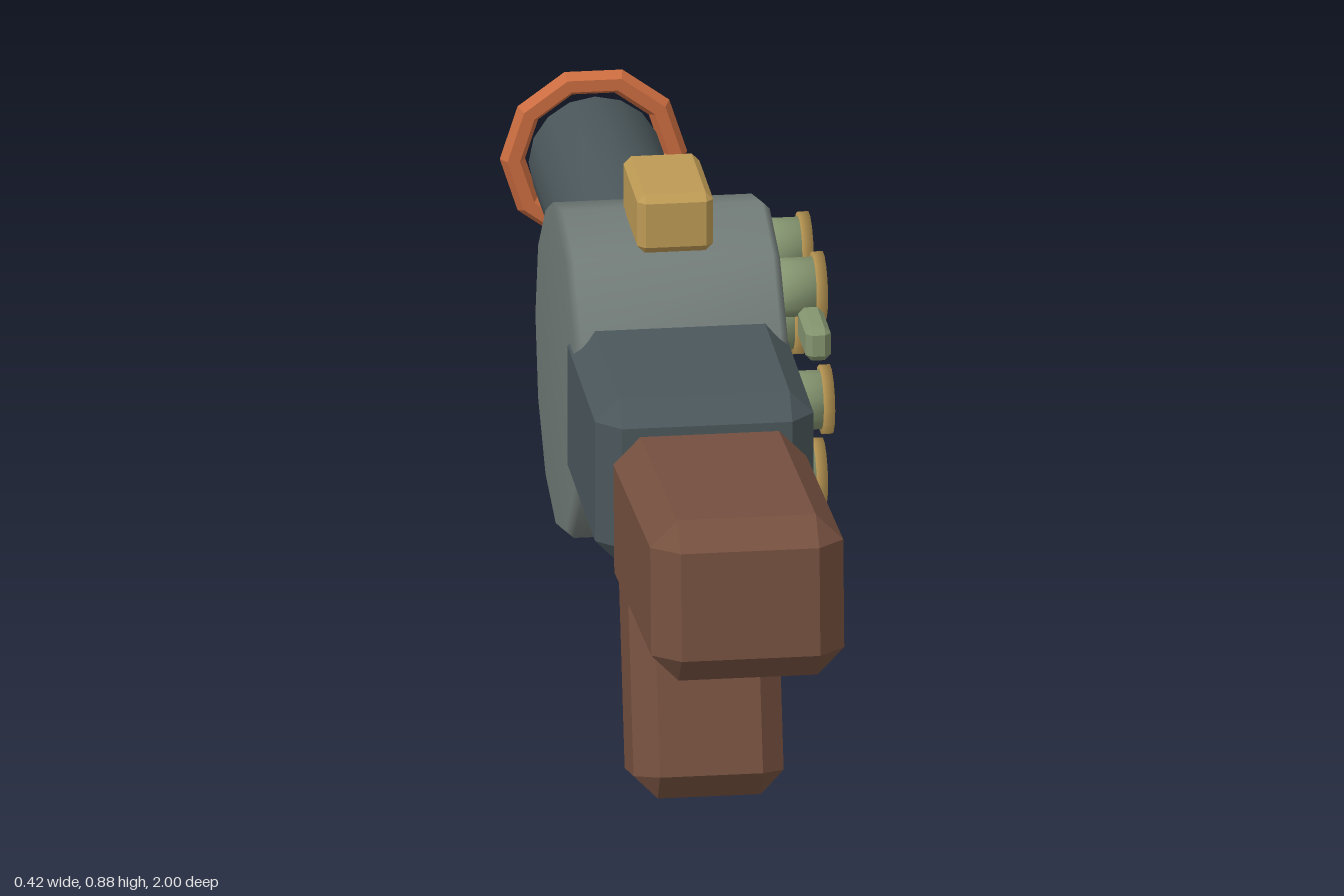
import * as THREE from 'three';
import { mergeVertices } from 'three/addons/utils/BufferGeometryUtils.js';
import { ConvexGeometry } from 'three/addons/geometries/ConvexGeometry.js';

const MID = -0.036; // centre line of the body in x

const paint = (color, flatShading = false) => new THREE.MeshStandardMaterial({ color, flatShading });
const wood = paint(0x75503f, true);
const steel = paint(0x4b575b, true);
const barrelSteel = paint(0x4b575b);
const drumGrey = paint(0x717b77);
const brass = paint(0xbd9a55);
const brassFlat = paint(0xbd9a55, true);
const green = paint(0x84946f);
const greenFlat = paint(0x84946f, true);
const copper = paint(0xcb6c40, true);

// Box with every edge chamfered by c
function chamferBox(w, h, d, c) {
  const points = [];
  for (const sx of [-1, 1]) for (const sy of [-1, 1]) for (const sz of [-1, 1]) {
    for (let full = 0; full < 3; full++) {
      const inset = (axis) => (axis === full ? 0 : c);
      points.push(new THREE.Vector3(
        sx * (w / 2 - inset(0)), sy * (h / 2 - inset(1)), sz * (d / 2 - inset(2))));
    }
  }
  return new ConvexGeometry(points);
}

// Closed round solid along y with softened rims and shared normals
function roundSolid(r, length, bevel, sides) {
  const h = length / 2;
  const profile = [[0, -h], [r - bevel, -h], [r, bevel - h], [r, h - bevel], [r - bevel, h], [0, h]];
  const used = bevel > 0 ? profile : [profile[0], profile[2], profile[3], profile[5]];
  const geometry = new THREE.LatheGeometry(used.map(([x, y]) => new THREE.Vector2(x, y)), sides);
  geometry.deleteAttribute('normal');
  geometry.deleteAttribute('uv');
  const merged = mergeVertices(geometry, 1e-4);
  merged.computeVertexNormals();
  return merged;
}

export function createModel() {
  const model = new THREE.Group();
  model.name = 'drumLauncher';

  const add = (name, geometry, material, x, y, z, tilt = 0) => {
    const mesh = new THREE.Mesh(geometry, material);
    mesh.name = name;
    mesh.position.set(x, y, z);
    mesh.rotation.x = tilt;
    model.add(mesh);
    return mesh;
  };

  // Body, stock and grip
  add('receiver', chamferBox(0.345, 0.275, 0.42, 0.038), steel, MID, 0.543, 0.24);
  add('stock', chamferBox(0.305, 0.262, 0.55, 0.043), wood, MID, 0.525, 0.72, -0.07);
  add('grip', chamferBox(0.237, 0.19, 0.42, 0.037).rotateX(Math.PI / 2), wood, MID, 0.222, 0.369, -0.243);

  // Twelve-sided drum across the body
  const drumY = 0.535, drumZ = -0.11;
  add('drum', roundSolid(0.267, 0.338, 0.012, 12).rotateZ(-Math.PI / 2), drumGrey, MID, drumY, drumZ);

  // Barrel and muzzle ring
  add('barrel', roundSolid(0.105, 0.76, 0, 16).rotateX(-Math.PI / 2), barrelSteel, MID, 0.565, -0.58);
  add('muzzleRing', new THREE.TorusGeometry(0.128, 0.02, 6, 10), copper, MID, 0.565, -0.98);

  // Six shells around the drum face
  const shellBody = roundSolid(0.047, 0.056, 0, 14).rotateZ(-Math.PI / 2);
  const shellCap = roundSolid(0.055, 0.017, 0, 14).rotateZ(-Math.PI / 2);
  for (let i = 0; i < 6; i++) {
    const a = (i * Math.PI) / 3;
    const y = drumY + 0.18 * Math.sin(a), z = drumZ + 0.18 * Math.cos(a);
    add('shellBody' + (i + 1), shellBody, green, 0.166, y, z);
    add('shellCap' + (i + 1), shellCap, brass, 0.1985, y, z);
  }

  // Sight on top and catch at the side
  add('sight', chamferBox(0.12, 0.097, 0.198, 0.012), brassFlat, MID, 0.833, -0.04);
  add('sideCatch', chamferBox(0.04, 0.055, 0.112, 0.01), greenFlat, 0.165, 0.693, 0.197);

  return model;
}
